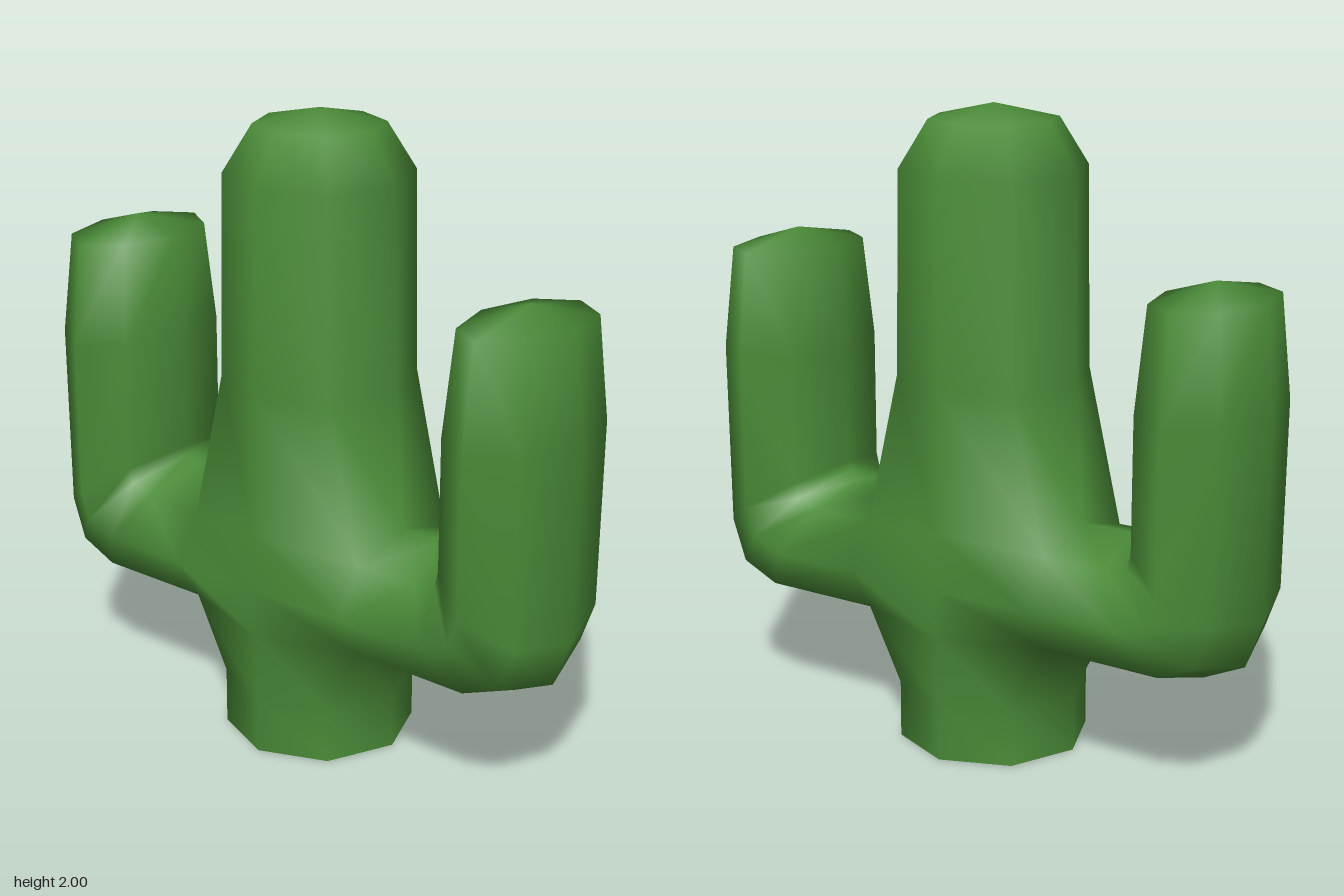
import * as THREE from 'three';
import { mergeVertices } from 'three/addons/utils/BufferGeometryUtils.js';

const K = Math.SQRT1_2;
const ARM_X = 0.33, ARM_Y = 0.55, ARM_H = 0.2, ARM_Z = 0.3; // where an arm leaves the trunk

// Eight points round the trunk, from a side, a corner and a front point
function trunkRing([sx, sy], [cx, cy, cz], [fy, fz]) {
  return [[sx, sy, 0], [cx, cy, cz], [0, fy, fz], [-cx, cy, cz],
    [-sx, sy, 0], [-cx, cy, -cz], [0, fy, -fz], [cx, cy, -cz]];
}
const roundRing = (y, r) => trunkRing([r, y], [r * K, y, r * K], [y, r]);

// Eight points of an arm section, from its inner and outer points and half depth
function armRing([ix, iy, ox, oy, z]) {
  return Array.from({ length: 8 }, (_, i) => {
    const c = [1, K, 0, -K, -1, -K, 0, K][i], s = [0, K, 1, K, 0, -K, -1, -K][i];
    return [(ix + ox) / 2 + c * (ox - ix) / 2, (iy + oy) / 2 + c * (oy - iy) / 2, z * s];
  });
}

// Triangles skinning a row of rings, closed with a tip
function skin(rings, tip, skip = () => false) {
  const out = [];
  rings.forEach((a, r) => {
    const b = rings[r + 1];
    for (let i = 0; i < 8; i++) {
      const j = (i + 1) % 8;
      if (!b) out.push(a[i], tip, a[j]);
      else if (!skip(r, i)) out.push(a[i], b[i], b[j], a[i], b[j], a[j]);
    }
  });
  return out;
}

export function createModel() {
  const green = new THREE.MeshStandardMaterial({ color: 0x4b8c38 });
  green.name = 'cactusGreen';
  const group = new THREE.Group();
  group.name = 'cactus';

  // Trunk, left open on both sides where the arms join
  const cz = ARM_Z * K, low = ARM_Y - ARM_H, high = ARM_Y + ARM_H;
  const trunk = skin([
    roundRing(0, 0.3),
    roundRing(0.18, 0.3),
    trunkRing([ARM_X, low], [ARM_X, ARM_Y - ARM_H * K, cz], [0.4, 0.312]),
    trunkRing([ARM_X, ARM_Y], [ARM_X, ARM_Y, ARM_Z], [0.56, 0.32]),
    trunkRing([ARM_X, high], [ARM_X, ARM_Y + ARM_H * K, cz], [0.74, 0.314]),
    roundRing(1.18, 0.3),
    roundRing(1.81, 0.29),
    roundRing(1.955, 0.2),
  ], [0, 2, 0], (r, i) => (r === 2 || r === 3) && [0, 3, 4, 7].includes(i));

  // Arm: out sideways, round the elbow, then up
  const leftArm = skin([
    [ARM_X, high, ARM_X, low, ARM_Z],
    [0.5, 0.755, 0.76, 0.348, 0.3],
    [0.565, 0.77, 0.895, 0.41, 0.3],
    [0.57, 0.8, 0.95, 0.56, 0.3],
    [0.57, 1.18, 0.96, 1.18, 0.3],
    [0.6, 1.5, 0.93, 1.5, 0.26],
  ].map(armRing), [0.765, 1.55, 0]);
  const rightArm = leftArm.map(([x, y, z]) => [-x, y, z]).reverse();

  // Weld all parts so shading flows across the joints, then split by index
  const parts = { trunk, leftArm, rightArm };
  const all = new THREE.BufferGeometry();
  all.setAttribute('position',
    new THREE.Float32BufferAttribute(Object.values(parts).flat(2), 3));
  const welded = mergeVertices(all, 1e-4);
  welded.computeVertexNormals();
  const index = Array.from(welded.index.array);
  let start = 0;
  for (const [name, points] of Object.entries(parts)) {
    const geometry = new THREE.BufferGeometry();
    geometry.setAttribute('position', welded.attributes.position);
    geometry.setAttribute('normal', welded.attributes.normal);
    geometry.setIndex(index.slice(start, start + points.length));
    start += points.length;
    const mesh = new THREE.Mesh(geometry, green);
    mesh.name = name;
    group.add(mesh);
  }

  // Flat underside
  const base = new THREE.Mesh(new THREE.CircleGeometry(0.3, 8).rotateX(Math.PI / 2), green);
  base.name = 'base';
  group.add(base);
  return group;
}
